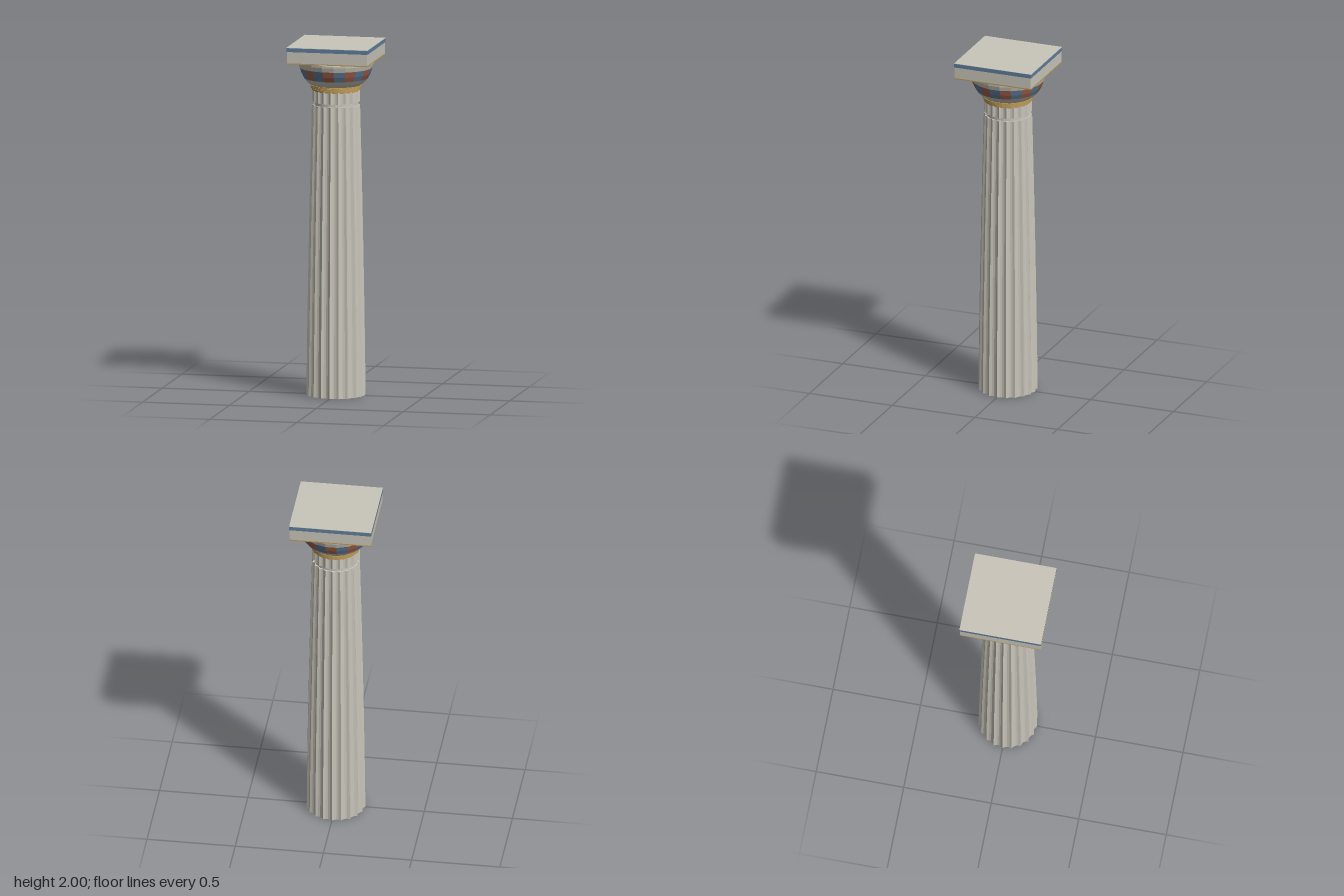
import * as THREE from 'three';

const FLUTES = 20;
const STEPS = 4; // facets across one flute

export function createModel() {
  const mat = (name, color) => {
    const m = new THREE.MeshStandardMaterial({ color, flatShading: true });
    m.name = name;
    return m;
  };
  const stone = mat('stone', 0xc9c5ba);
  const blue = mat('paintBlue', 0x5f7d9c);
  const red = mat('paintRed', 0xa4624a);
  const gold = mat('paintGold', 0xbd9a55);

  const model = new THREE.Group();
  model.name = 'column';
  const add = (name, geometry, material, y = 0) => {
    const mesh = new THREE.Mesh(geometry, material);
    mesh.name = name;
    mesh.position.y = y;
    model.add(mesh);
    return mesh;
  };

  // Fluted drum: rings of [y, radius, flute depth], closed at both ends
  const fluted = (rings) => {
    const n = FLUTES * STEPS;
    const pos = [];
    const index = [];
    for (const [y, r, depth] of rings) {
      for (let i = 0; i < n; i++) {
        const a = (i / n) * Math.PI * 2;
        const t = (i % STEPS) / STEPS;
        const d = r - depth * 4 * t * (1 - t);
        pos.push(Math.sin(a) * d, y, Math.cos(a) * d);
      }
    }
    for (let k = 0; k < rings.length - 1; k++) {
      for (let i = 0; i < n; i++) {
        const a = k * n + i;
        const b = k * n + ((i + 1) % n);
        index.push(a, b, b + n, a, b + n, a + n);
      }
    }
    const last = (rings.length - 1) * n;
    const c = rings.length * n;
    pos.push(0, rings[0][0], 0, 0, rings[rings.length - 1][0], 0);
    for (let i = 0; i < n; i++) {
      const j = (i + 1) % n;
      index.push(c, j, i, c + 1, last + i, last + j);
    }
    const g = new THREE.BufferGeometry();
    g.setAttribute('position', new THREE.Float32BufferAttribute(pos, 3));
    g.setIndex(index);
    const flat = g.toNonIndexed();
    flat.computeVertexNormals();
    return flat;
  };

  // Tapering shaft with a slight swelling
  const rings = [];
  for (let k = 0; k <= 8; k++) {
    const t = k / 8;
    const r = 0.167 - 0.031 * t + 0.012 * t * (1 - t);
    rings.push([1.65 * t, r, r * 0.075]);
  }
  add('shaft', fluted(rings), stone);

  // Necking above a recessed groove
  add('neckGroove', new THREE.CylinderGeometry(0.122, 0.122, 0.03, 40), stone, 1.66);
  add('necking', fluted([[1.668, 0.136, 0.01], [1.74, 0.135, 0.01]]), stone);

  // Three annulets
  for (let i = 0; i < 3; i++) {
    const r = 0.136 + i * 0.004;
    add('annulet', new THREE.CylinderGeometry(r, r, 0.008, 40), gold, 1.74 + i * 0.01);
  }
  add('annuletCore', new THREE.CylinderGeometry(0.134, 0.13, 0.035, 40), gold, 1.7475);

  // Echinus: bowl in stone with an alternating painted band
  const sides = 20;
  const half = Math.PI / sides;
  const bowl = (points, start = -half, segments = sides) =>
    new THREE.LatheGeometry(points.map(([r, y]) => new THREE.Vector2(r, y)),
      segments, start, segments * half * 2);
  add('echinusLower', bowl([[0, 1.762], [0.142, 1.765], [0.165, 1.783], [0.181, 1.803]]), stone);
  for (let i = 0; i < sides; i++) {
    add('echinusPaint', bowl([[0.181, 1.803], [0.195, 1.83], [0.206, 1.862]], (2 * i - 1) * half, 1),
      i % 2 ? blue : red);
  }
  add('echinusUpper', bowl([[0.206, 1.862], [0.214, 1.887], [0.215, 1.9], [0.205, 1.908], [0, 1.908]]), stone);

  // Square abacus with gold lower edge and blue top band
  add('abacusLowerEdge', new THREE.BoxGeometry(0.462, 0.006, 0.462), gold, 1.909);
  add('abacus', new THREE.BoxGeometry(0.46, 0.086, 0.46), stone, 1.954);
  add('abacusBand', new THREE.BoxGeometry(0.466, 0.022, 0.466), blue, 1.987);
  add('abacusTop', new THREE.BoxGeometry(0.466, 0.002, 0.466), stone, 1.999);
  return model;
}
